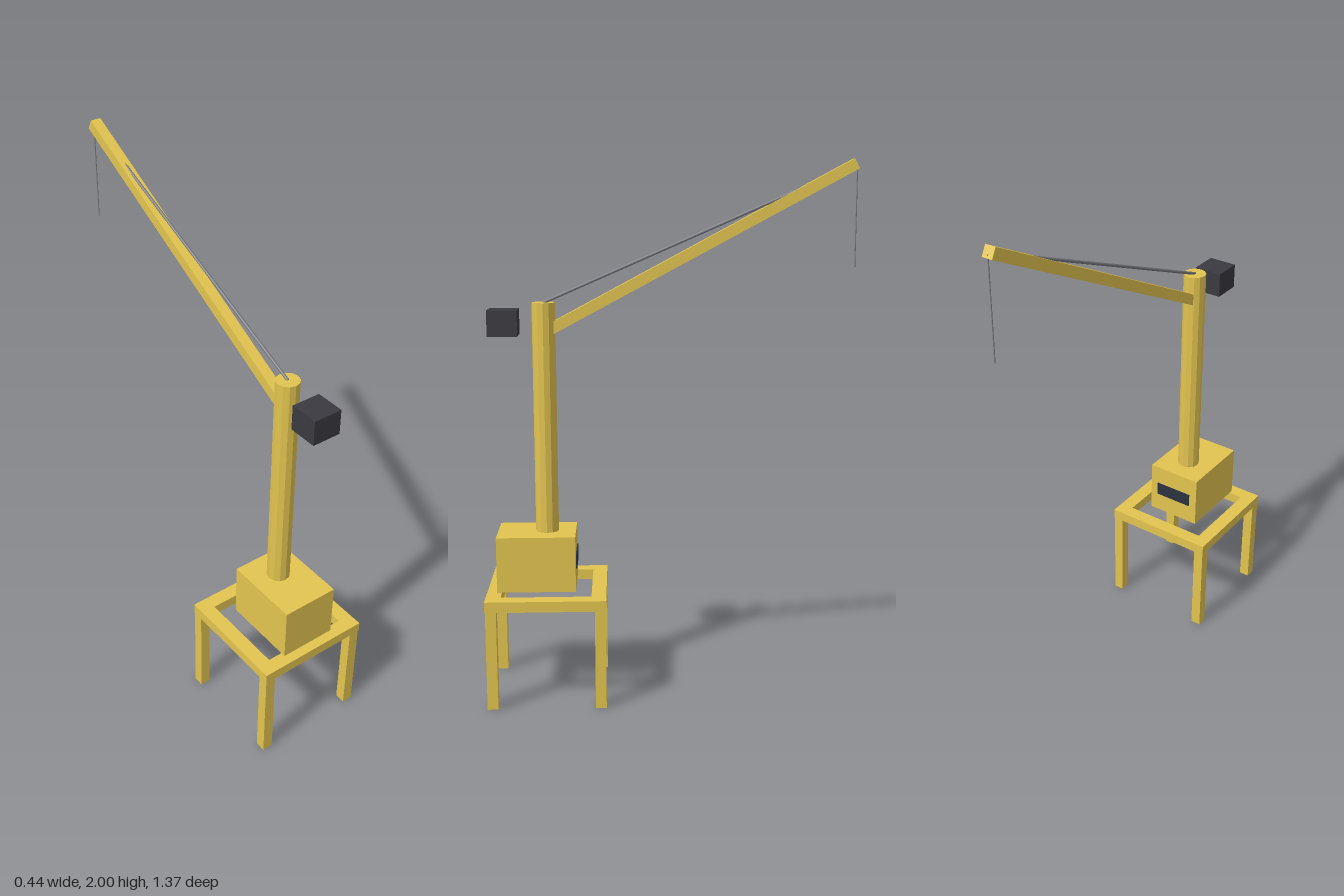
import * as THREE from 'three';

const material = (color, flatShading = false) => new THREE.MeshStandardMaterial({ color, flatShading });

export function createModel() {
  const crane = new THREE.Group();
  crane.name = 'towerCrane';
  const yellow = material(0xe3c450, true);
  const dark = material(0x3a3a40);
  const glass = material(0x2b3340);
  const steel = material(0x777a80);

  const add = (name, geometry, mat, x, y, z) => {
    const mesh = new THREE.Mesh(geometry, mat);
    mesh.name = name;
    mesh.position.set(x, y, z);
    crane.add(mesh);
    return mesh;
  };
  const box = (name, w, h, d, mat, x, y, z) => add(name, new THREE.BoxGeometry(w, h, d), mat, x, y, z);

  // Stretches a +z aligned or +y aligned part between two points
  const middle = (a, b) => a.clone().add(b).multiplyScalar(0.5);
  const rod = (name, a, b, radius, mat) => {
    const m = middle(a, b);
    const mesh = add(name, new THREE.CylinderGeometry(radius, radius, a.distanceTo(b), 8), mat, m.x, m.y, m.z);
    mesh.quaternion.setFromUnitVectors(new THREE.Vector3(0, 1, 0), b.clone().sub(a).normalize());
  };

  const baseZ = 0.465; // mast axis

  // Portal: four legs under an open square frame
  for (const sx of [-1, 1]) {
    for (const sz of [-1, 1]) {
      box('portalLeg', 0.04, 0.375, 0.04, yellow, sx * 0.2, 0.1875, baseZ + sz * 0.2);
    }
  }
  const square = (Type, r) => new Type([[-r, -r], [r, -r], [r, r], [-r, r]].map(([x, y]) => new THREE.Vector2(x, y)));
  const outline = square(THREE.Shape, 0.222);
  outline.holes.push(square(THREE.Path, 0.167));
  const frame = new THREE.ExtrudeGeometry(outline, { depth: 0.04, bevelEnabled: false }).rotateX(-Math.PI / 2);
  add('portalFrame', frame, yellow, 0, 0.375, baseZ);

  // Machinery cab with a window facing the boom side
  box('cab', 0.22, 0.21, 0.293, yellow, 0, 0.52, 0.5035);
  box('cabWindow', 0.155, 0.053, 0.01, glass, 0, 0.522, 0.357);

  // Mast
  add('mast', new THREE.CylinderGeometry(0.043, 0.043, 0.86, 12), yellow, 0, 1.055, baseZ);

  // Inclined boom rising toward the back
  const foot = new THREE.Vector3(0, 1.376, 0.46);
  const tip = new THREE.Vector3(0, 1.982, -0.674);
  const boomMid = middle(foot, tip);
  const boom = box('boom', 0.04, 0.04, foot.distanceTo(tip), yellow, 0, boomMid.y, boomMid.z);
  boom.rotation.x = Math.atan2(tip.y - foot.y, foot.z - tip.z);

  // Counterweight behind the mast head
  box('counterweight', 0.11, 0.095, 0.11, dark, 0, 1.4125, 0.613);

  // Stay from the mast head to the boom, and the hoist line at the tip
  rod('stay', new THREE.Vector3(0, 1.484, baseZ), new THREE.Vector3(0, 1.895, -0.48), 0.0055, steel);
  rod('hoistLine', new THREE.Vector3(0, 1.61, -0.678), new THREE.Vector3(0, 1.975, -0.678), 0.002, steel);

  return crane;
}
